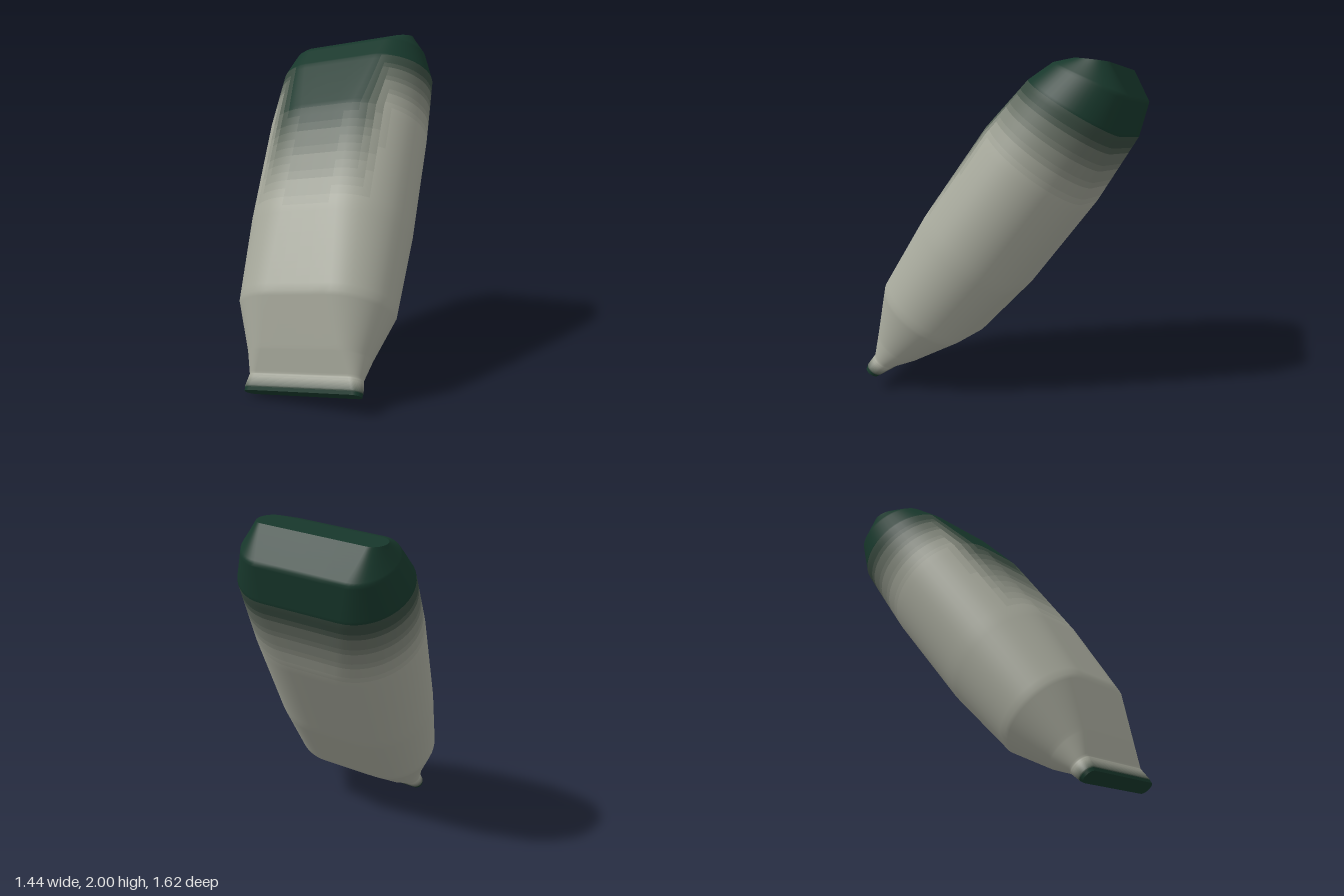
import * as THREE from 'three';

// Leaning frame: W runs across the width, T along the length, D through the thickness
const W = new THREE.Vector3(0.627, 0.128, 0.77).normalize();
const T = new THREE.Vector3(0.389, 0.808, -0.444).normalize();
const D = new THREE.Vector3().crossVectors(W, T).normalize();

// Stations: [upper edge t, upper edge d, lower edge t, lower edge d, half width, end roundness]
const STATIONS = [
  [-1.185, 0.07, -1.185, -0.015, 0.355, 1],   // lip
  [-1.16, 0.078, -1.16, -0.025, 0.358, 1],
  [-1.09, 0.085, -1.09, -0.045, 0.345, 1],    // neck
  [-0.97, 0.165, -0.97, -0.125, 0.373, 1],
  [-0.7, 0.315, -0.71, -0.255, 0.467, 1],     // shoulder
  [-0.21, 0.375, -0.23, -0.315, 0.492, 1],
  [0.43, 0.392, 0.43, -0.32, 0.5, 1],
  [0.8, 0.335, 0.87, -0.265, 0.488, 0.88],
  [0.96, 0.275, 1.065, -0.18, 0.425, 0.75],
  [1.05, 0.185, 1.15, 0.015, 0.36, 0.65],     // end cap
];
const ROWS = 12, ARC = 24, FLAT = 4, LEVELS = 12;
const PALE = new THREE.Color(0xa6a89b), DARK = new THREE.Color(0x17372b);

// One loop: straight faces joined by round ends; each entry is [side, cos, sin]
const LOOP = [];
for (const s of [1, -1]) {
  for (let i = 0; i <= ARC; i++) {
    const a = (-s * Math.PI) / 2 + (Math.PI * i) / ARC;
    LOOP.push([s, Math.cos(a), Math.sin(a)]);
  }
  for (let i = 1; i < FLAT; i++) LOOP.push([s * (1 - (2 * i) / FLAT), 0, s]);
}
const N = LOOP.length;

function ring([t1, d1, t2, d2, w, round]) {
  const ht = (t1 - t2) / 2, hd = (d1 - d2) / 2, h = Math.hypot(ht, hd) * round;
  return LOOP.map(([side, c, s]) => new THREE.Vector3(0, 1, 0)
    .addScaledVector(T, (t1 + t2) / 2 + ht * s)
    .addScaledVector(D, (d1 + d2) / 2 + hd * s)
    .addScaledVector(W, (w - h) * side + h * c));
}

// How dark the surface is at station position u and loop direction s
function darkness(u, s) {
  const face = THREE.MathUtils.smoothstep(s, 0.7, 1);
  const rim = 1 - THREE.MathUtils.smoothstep(u, 0.6, 2);
  const side = THREE.MathUtils.clamp(u - 6, 0, 1);
  const top = THREE.MathUtils.clamp(u - 5, 0, 1) * face;
  return Math.max(rim, side, top);
}

function material(k) {
  return new THREE.MeshStandardMaterial({ color: PALE.clone().lerp(DARK, k) });
}

// Flat lid over a loop
function lid(points, up, name) {
  const centre = points.reduce((a, p) => a.add(p), new THREE.Vector3()).divideScalar(N);
  const index = [];
  for (let j = 0; j < N; j++) {
    const n = (j + 1) % N;
    index.push(N, up ? n : j, up ? j : n);
  }
  const g = new THREE.BufferGeometry().setFromPoints([...points, centre]);
  g.setIndex(index);
  g.computeVertexNormals();
  const m = new THREE.Mesh(g, material(1));
  m.name = name;
  return m;
}

export function createModel() {
  const group = new THREE.Group();
  group.name = 'flattenedTube';

  // Lofted skin, with finer rows between the stations
  const points = [], count = (STATIONS.length - 1) * ROWS;
  for (let r = 0; r <= count; r++) {
    const i = Math.min(Math.floor(r / ROWS), STATIONS.length - 2), f = r / ROWS - i;
    points.push(...ring(STATIONS[i].map((v, k) => v + (STATIONS[i + 1][k] - v) * f)));
  }
  const bands = Array.from({ length: LEVELS + 1 }, () => []);
  for (let r = 0; r < count; r++) {
    for (let j = 0; j < N; j++) {
      const n = (j + 1) % N, a = r * N + j, b = r * N + n;
      const k = darkness((r + 0.5) / ROWS, (LOOP[j][2] + LOOP[n][2]) / 2);
      bands[Math.round(k * LEVELS)].push(a, a + N, b, b, a + N, b + N);
    }
  }
  const skin = new THREE.BufferGeometry().setFromPoints(points);
  skin.setIndex(bands.flat());
  skin.computeVertexNormals();

  // One mesh per shade, sharing the smooth normals
  bands.forEach((index, k) => {
    if (!index.length) return;
    const g = new THREE.BufferGeometry();
    g.setAttribute('position', skin.attributes.position);
    g.setAttribute('normal', skin.attributes.normal);
    g.setIndex(index);
    const m = new THREE.Mesh(g, material(k / LEVELS));
    m.name = k === 0 ? 'paleBody' : k === LEVELS ? 'darkEnds' : 'fadeBand' + k;
    group.add(m);
  });

  group.add(lid(points.slice(-N), true, 'endCap'), lid(points.slice(0, N), false, 'lipOpening'));
  return group;
}
